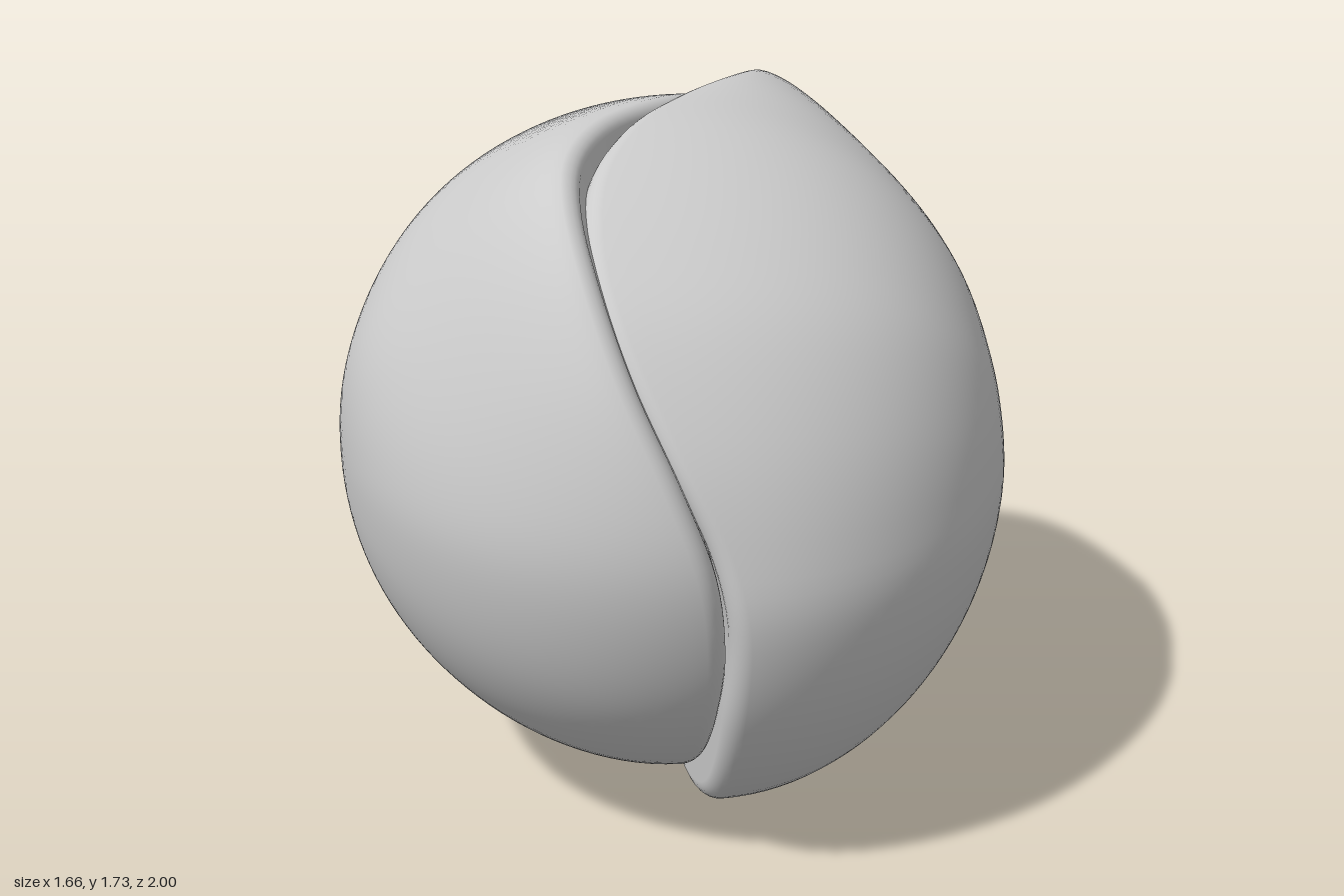
import * as THREE from 'three';

const CY = 0.86;      // height of the dome centre
const BULGE = 0.83;   // how far each half swells sideways
const AROUND = 144, DOME = 36, ROLL = 6;

// Closed lip of one half [x, y, z]: the S-shaped seam runs over the top
const LIP = [
  [0, 0.72, 0.98], [-0.04, 0.9, 0.965], [-0.14, 1.12, 0.9], [-0.24, 1.35, 0.76],
  [-0.27, 1.49, 0.6], [-0.24, 1.61, 0.4], [-0.14, 1.685, 0.2], [0, 1.715, 0],
  [0.16, 1.725, -0.2], [0.25, 1.695, -0.4], [0.27, 1.63, -0.55], [0.25, 1.5, -0.71],
  [0.19, 1.29, -0.86], [0.1, 1.06, -0.95], [0.03, 0.85, -0.975], [0, 0.63, -0.925],
  [0, 0.43, -0.82], [0, 0.26, -0.66], [0, 0.13, -0.45], [0, 0.05, -0.2],
  [0, 0, 0.1], [0, 0.04, 0.4], [0, 0.185, 0.69], [0, 0.45, 0.9],
];

// One half: inner face, rolled lip, then a dome closing at the side
function halfGeometry(tipDrop) {
  const curve = new THREE.CatmullRomCurve3(
    LIP.map(([x, y, z]) => new THREE.Vector3(x, y - tipDrop * Math.max(0, x), z)), true);
  const lip = curve.getSpacedPoints(AROUND).slice(0, AROUND);
  const rows = [];
  const addRow = (f) => rows.push(lip.map((p) => {
    const [x, k] = f(p.x);
    return [x, CY + (p.y - CY) * k, p.z * k];
  }));

  // inner face
  for (const k of [0, 0.3, 0.6, 0.8]) addRow((e) => [e * k, k]);
  // rolled lip
  const w = 0.045;
  for (let i = 0; i <= ROLL; i++) {
    const a = (i / ROLL) * Math.PI / 2;
    addRow((e) => [e + w * (1 - Math.cos(a)), 1 - w * (1 - Math.sin(a))]);
  }
  // dome: pointed where the lip is cut back, fuller where it overhangs
  for (let i = 1; i <= DOME; i++) {
    const t = Math.sin((i / DOME) * Math.PI / 2);
    addRow((e) => {
      const x0 = e + w;
      const p = THREE.MathUtils.lerp(1.9 - 1.8 * e, 2, t ** 4);
      return [x0 + (BULGE - x0) * t, Math.max(0, 1 - t ** p) ** (1 / p)];
    });
  }

  const index = [];
  for (let r = 0; r < rows.length - 1; r++) {
    for (let j = 0; j < AROUND; j++) {
      const n = (j + 1) % AROUND;
      const a = r * AROUND + j, b = a + AROUND;
      const c = r * AROUND + n, d = c + AROUND;
      if (r < rows.length - 2) index.push(a, b, d);
      else index.push(a, b, c);
      if (r > 0 && r < rows.length - 2) index.push(a, d, c);
    }
  }
  const geometry = new THREE.BufferGeometry();
  geometry.setAttribute('position', new THREE.Float32BufferAttribute(rows.flat(2), 3));
  geometry.setIndex(index);
  geometry.computeVertexNormals();
  // single normals at the two poles
  const normals = geometry.attributes.normal;
  for (let j = 0; j < AROUND; j++) {
    normals.setXYZ(j, -1, 0, 0);
    normals.setXYZ((rows.length - 1) * AROUND + j, 1, 0, 0);
  }
  return geometry;
}

export function createModel() {
  const model = new THREE.Group();
  model.name = 'splitNut';
  const material = new THREE.MeshStandardMaterial({ color: 0xcccccc });

  const left = new THREE.Mesh(halfGeometry(0), material);
  left.name = 'leftHalf';
  model.add(left);

  // the other half is turned around the upright axis, slightly longer and lower
  const right = new THREE.Mesh(halfGeometry(0.12), material);
  right.name = 'rightHalf';
  right.rotation.y = Math.PI;
  right.scale.set(1, 0.98, 1.02);
  right.position.y = 0.025;
  model.add(right);

  return model;
}
